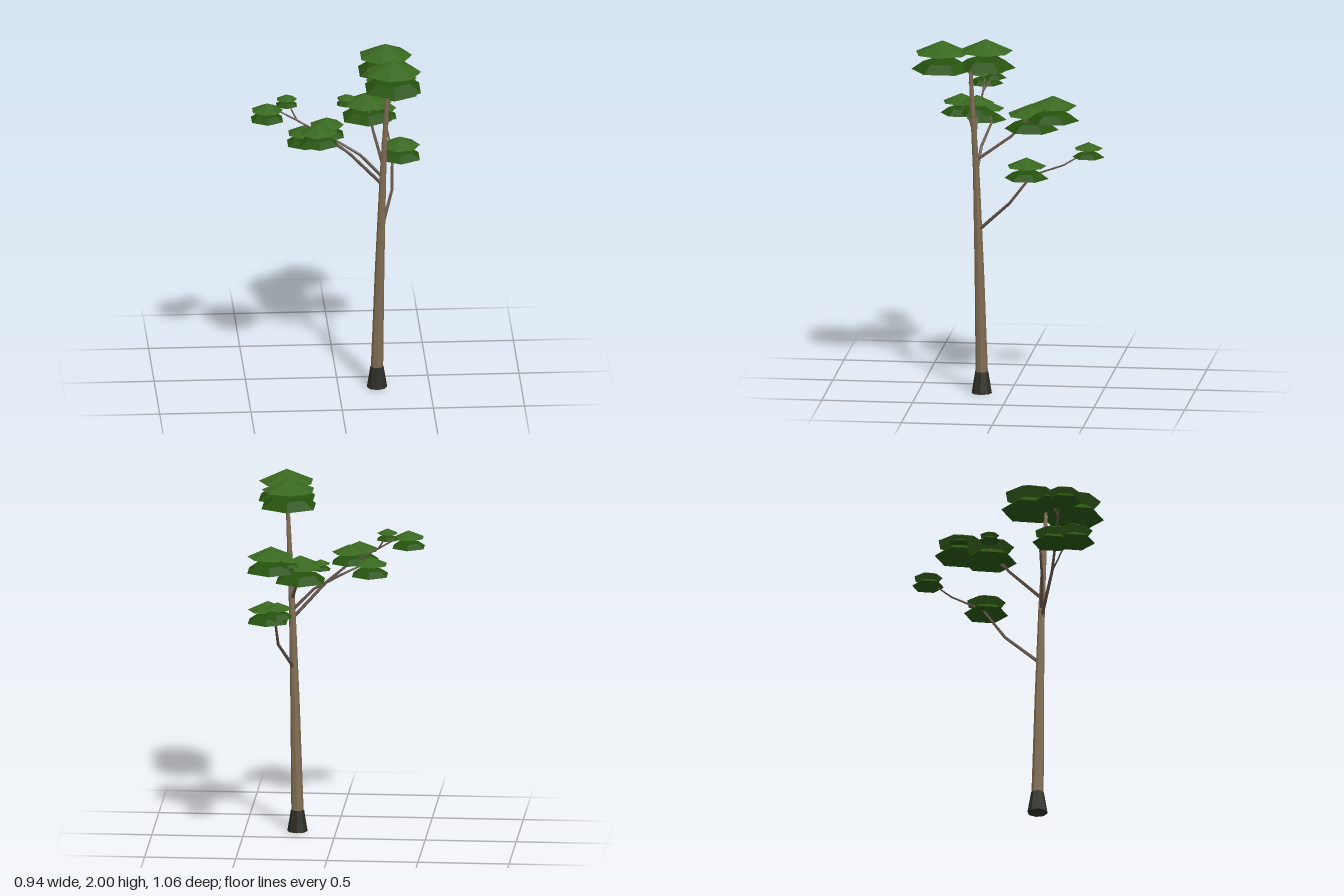
import * as THREE from 'three';

const mat = (name, color) => Object.assign(new THREE.MeshStandardMaterial({ color }), { name });

// Separate the faces so every facet is shaded flat
function facet(geometry) {
  const g = geometry.toNonIndexed();
  g.computeVertexNormals();
  return g;
}

// Tapered limb whose rings follow a list of [x, y, z] points
function limb(path, r0, r1, sides) {
  const pts = path.map((p) => new THREE.Vector3(...p));
  const last = pts.length - 1;
  const g = new THREE.CylinderGeometry(1, 1, 1, sides, last);
  const turns = pts.map((p, i) => {
    const dir = pts[Math.min(i + 1, last)].clone().sub(pts[Math.max(i - 1, 0)]).normalize();
    return new THREE.Quaternion().setFromUnitVectors(new THREE.Vector3(0, 1, 0), dir);
  });
  const pos = g.attributes.position;
  const v = new THREE.Vector3();
  for (let k = 0; k < pos.count; k++) {
    const i = Math.round((pos.getY(k) + 0.5) * last);
    const r = r0 + (r1 - r0) * i / last;
    v.set(pos.getX(k) * r, 0, pos.getZ(k) * r).applyQuaternion(turns[i]).add(pts[i]);
    pos.setXYZ(k, v.x, v.y, v.z);
  }
  return facet(g);
}

export function createModel() {
  const bark = mat('bark', 0x806d53);
  const branchBark = mat('branch bark', 0x66564a);
  const darkBark = mat('dark root bark', 0x2c2d24);
  const topLeaf = mat('upper leaf green', 0x38671f);
  const lowLeaf = mat('lower leaf green', 0x26520d);

  const model = new THREE.Group();
  model.name = 'tree';
  const add = (parent, name, geometry, material) => {
    const mesh = new THREE.Mesh(geometry, material);
    mesh.name = name;
    parent.add(mesh);
    return mesh;
  };

  // Flared foot and slightly leaning trunk
  add(model, 'trunkBase', facet(new THREE.CylinderGeometry(0.036, 0.056, 0.12, 8)), darkBark)
    .position.set(0.212, 0.06, 0.153);
  add(model, 'trunk', limb(
    [[0.212, 0.11, 0.153], [0.226, 0.7, 0.165], [0.243, 1.25, 0.18], [0.272, 1.86, 0.21]],
    0.034, 0.01, 8), bark);

  // Branches: start radius, end radius, path
  const branches = [
    // low branch to the back
    [0.01, 0.007, [[0.235, 0.92, 0.165], [0.305, 1.09, -0.013], [0.312, 1.25, -0.135]]],
    [0.006, 0.004, [[0.312, 1.25, -0.135], [0.3, 1.31, -0.31], [0.278, 1.38, -0.43]]],
    // middle branch to the back
    [0.01, 0.006, [[0.242, 1.31, 0.18], [0.2, 1.44, -0.008], [0.175, 1.56, -0.115]]],
    [0.006, 0.004, [[0.195, 1.46, -0.03], [0.24, 1.54, -0.13], [0.32, 1.63, -0.25]]],
    // pair of branches to the right
    [0.01, 0.005, [[0.24, 1.24, 0.178], [0.12, 1.365, 0.165], [-0.04, 1.46, 0.13], [-0.18, 1.52, 0.175]]],
    [0.01, 0.004, [[0.235, 1.2, 0.18], [0.06, 1.39, 0.21], [-0.07, 1.5, 0.21],
      [-0.23, 1.59, 0.2], [-0.385, 1.68, 0.205]]],
    [0.005, 0.004, [[0.06, 1.39, 0.21], [-0.04, 1.47, 0.25], [-0.117, 1.54, 0.305]]],
    [0.005, 0.003, [[-0.23, 1.59, 0.2], [-0.28, 1.68, 0.14]]],
  ];
  branches.forEach(([r0, r1, path]) => add(model, 'branch', limb(path, r0, r1, 5), branchBark));

  // Leaf clumps: x, underside height, z, radius
  const clumps = [
    [0.287, 1.825, 0.36, 0.171], [0.258, 1.838, 0.124, 0.165], // crown
    [0.175, 1.478, -0.117, 0.15], [0.326, 1.566, -0.255, 0.144], // middle back
    [0.062, 1.55, -0.135, 0.059], [0.225, 1.6, -0.28, 0.054],
    [0.354, 1.243, -0.111, 0.122], [0.276, 1.353, -0.443, 0.088], // low back
    [-0.394, 1.6, 0.205, 0.098], [-0.283, 1.657, 0.14, 0.064], // right tip
    [-0.184, 1.445, 0.175, 0.11], [-0.068, 1.505, 0.213, 0.106], [-0.117, 1.492, 0.305, 0.116],
  ];
  const cone = facet(new THREE.ConeGeometry(0.9, 0.41, 7, 1, false, Math.PI / 2).translate(0, 0.755, 0));
  const disc = facet(new THREE.CylinderGeometry(0.62, 1, 0.27, 6).translate(0, 0.135, 0));
  clumps.forEach(([x, y, z, r]) => {
    const clump = new THREE.Group();
    clump.name = 'leafClump';
    add(clump, 'upperLeaves', cone, topLeaf);
    add(clump, 'lowerLeaves', disc, lowLeaf);
    clump.position.set(x, y, z);
    clump.scale.setScalar(r);
    model.add(clump);
  });
  return model;
}
